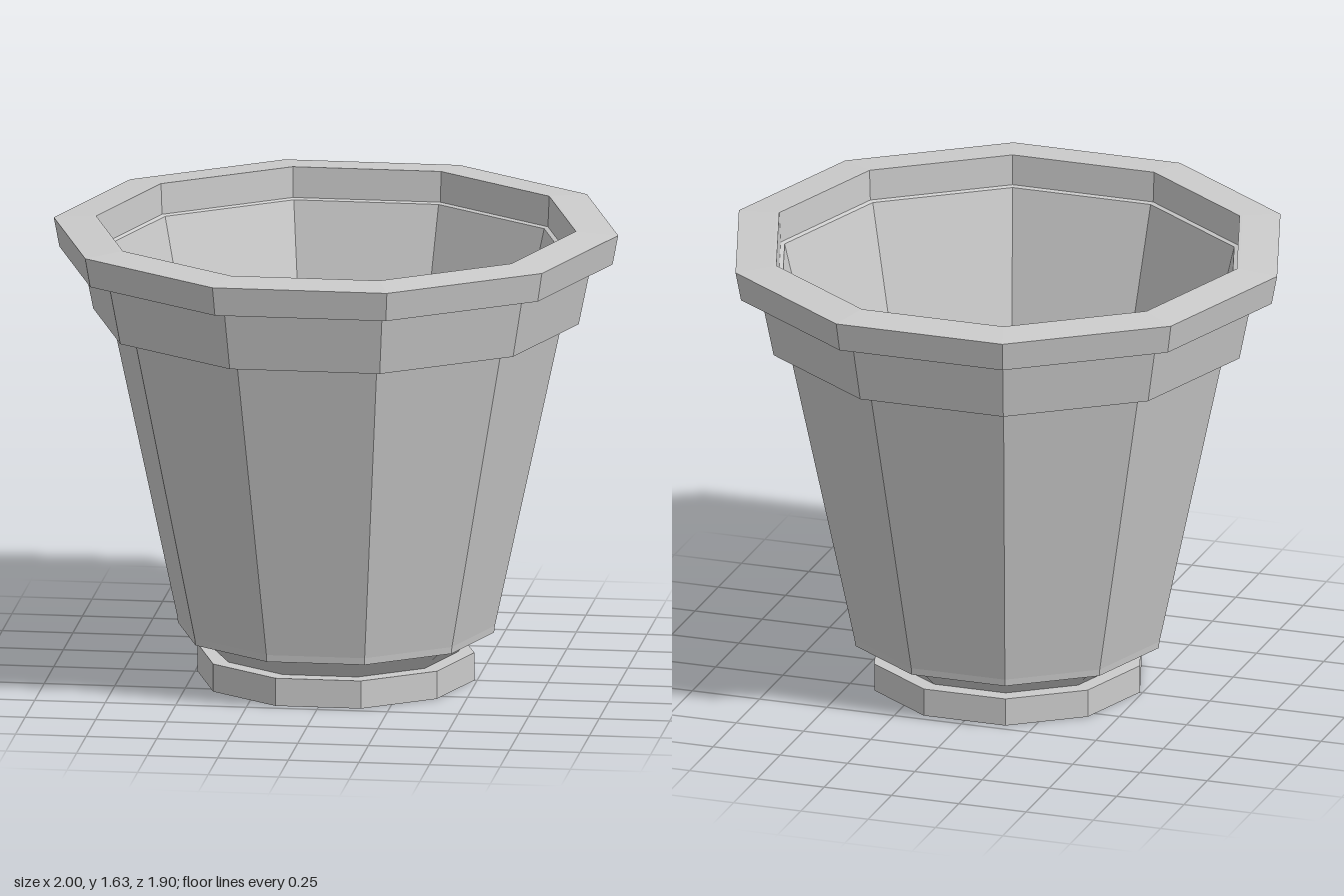
import * as THREE from 'three';

const SIDES = 10;

export function createModel() {
  const group = new THREE.Group();
  const material = new THREE.MeshStandardMaterial({ color: 0xcccccc, flatShading: true });

  // Ten-sided turned part from [radius, height] pairs, with a corner on +x
  const turned = (name, profile) => {
    const points = profile.map(([r, y]) => new THREE.Vector2(r, y));
    const mesh = new THREE.Mesh(new THREE.LatheGeometry(points, SIDES, Math.PI / 2), material);
    mesh.name = name;
    group.add(mesh);
  };

  // Foot with a flat underside and a ledge on top
  turned('foot', [[0, 0], [0.49, 0], [0.49, 0.1], [0.43, 0.1]]);

  // Flared neck under the body
  turned('neck', [[0.43, 0.1], [0.51, 0.175]]);

  // Tapered outer wall
  turned('outerWall', [[0.51, 0.175], [0.56, 0.175], [0.563, 0.2], [0.8, 1.3]]);

  // Stepped collar and overhanging rim
  turned('collar', [[0.8, 1.3], [0.86, 1.3], [0.905, 1.52]]);
  turned('rim', [[0.905, 1.52], [0.98, 1.52], [1, 1.625], [0.86, 1.635], [0.85, 1.635]]);

  // Hollow inside with a short upper band, and the floor
  turned('innerWall', [[0.85, 1.635], [0.845, 1.525], [0.83, 1.52], [0.505, 0.18]]);
  turned('floor', [[0.505, 0.18], [0, 0.18]]);

  return group;
}
